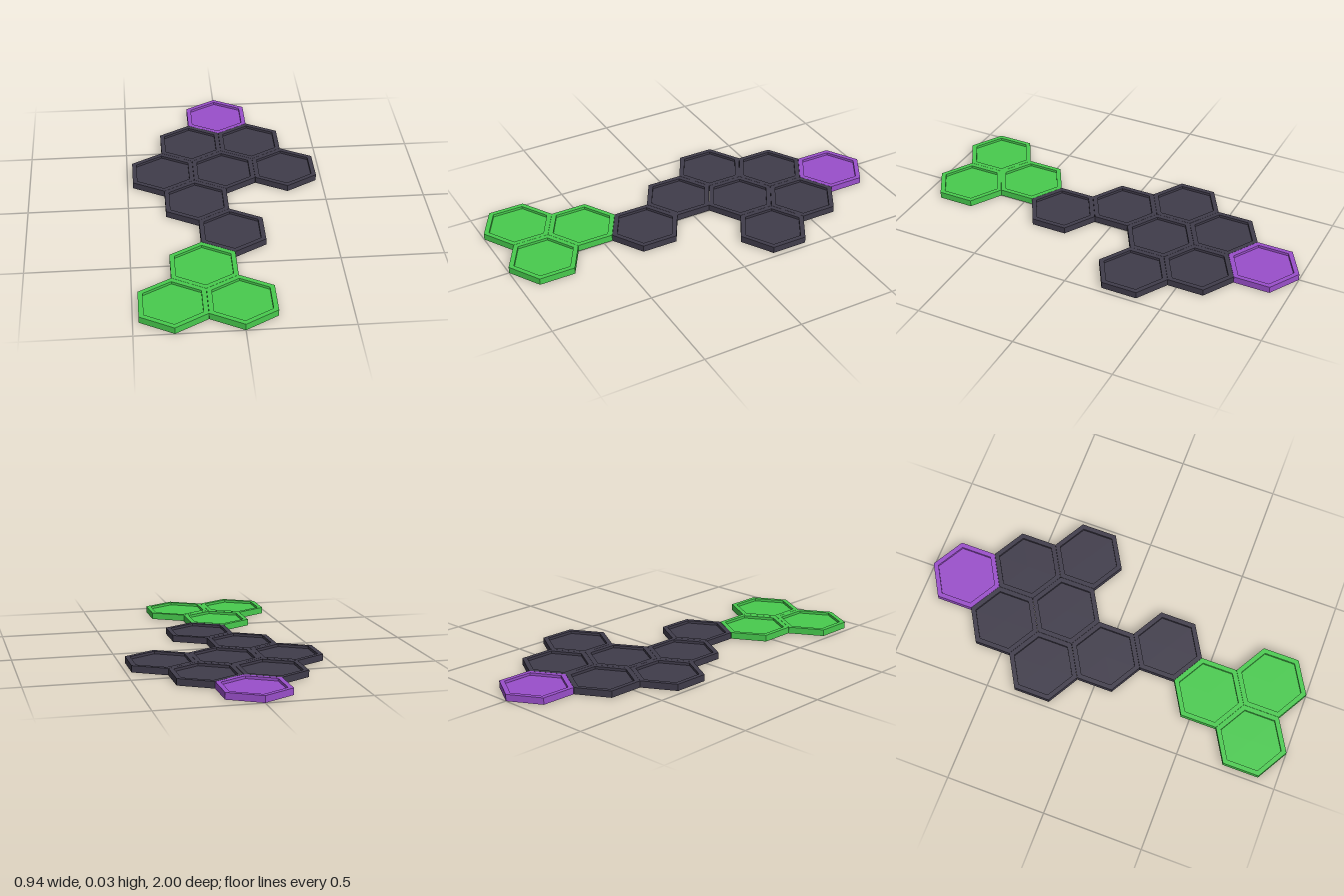
import * as THREE from 'three';

const PITCH = 2 / 11;                  // hexagon circumradius of the tiling grid
const STEP_X = PITCH * Math.sqrt(3);   // distance between neighbours in a row
const STEP_Z = PITCH * 1.5;            // distance between rows
const HEIGHT = 0.033;

// Hexagonal tray: flat base, upright sides, flat rim and a shallow recessed floor
function trayGeometry() {
  const outer = PITCH * 0.997, inner = PITCH * 0.85, floor = HEIGHT - 0.013;
  const profile = [
    [0, 0], [outer, 0], [outer, HEIGHT], [inner, HEIGHT], [inner, floor], [0, floor],
  ].map(([r, y]) => new THREE.Vector2(r, y));
  const geometry = new THREE.LatheGeometry(profile, 6).toNonIndexed();
  geometry.computeVertexNormals();
  return geometry;
}

export function createModel() {
  const model = new THREE.Group();
  model.name = 'hexTileMap';
  const geometry = trayGeometry();
  const material = (color) => new THREE.MeshStandardMaterial({ color, flatShading: true });

  // Tiles of each kind as [column, row]; row 0 is the middle, rows grow to the front
  const kinds = [
    { name: 'purpleTile', color: 0x9a4fcb, cells: [[0, -3]] },
    {
      name: 'darkTile', color: 0x403c4b,
      cells: [[-0.5, -2], [0.5, -2], [-1, -1], [0, -1], [1, -1], [-0.5, 0], [0, 1]],
    },
    { name: 'greenTile', color: 0x48cb4e, cells: [[-0.5, 2], [-1, 3], [0, 3]] },
  ];

  for (const { name, color, cells } of kinds) {
    const group = new THREE.Group();
    group.name = name + 's';
    const mat = material(color);
    cells.forEach(([column, row], i) => {
      const tile = new THREE.Mesh(geometry, mat);
      tile.name = name + (i + 1);
      tile.position.set(column * STEP_X, 0, row * STEP_Z);
      group.add(tile);
    });
    model.add(group);
  }
  return model;
}
